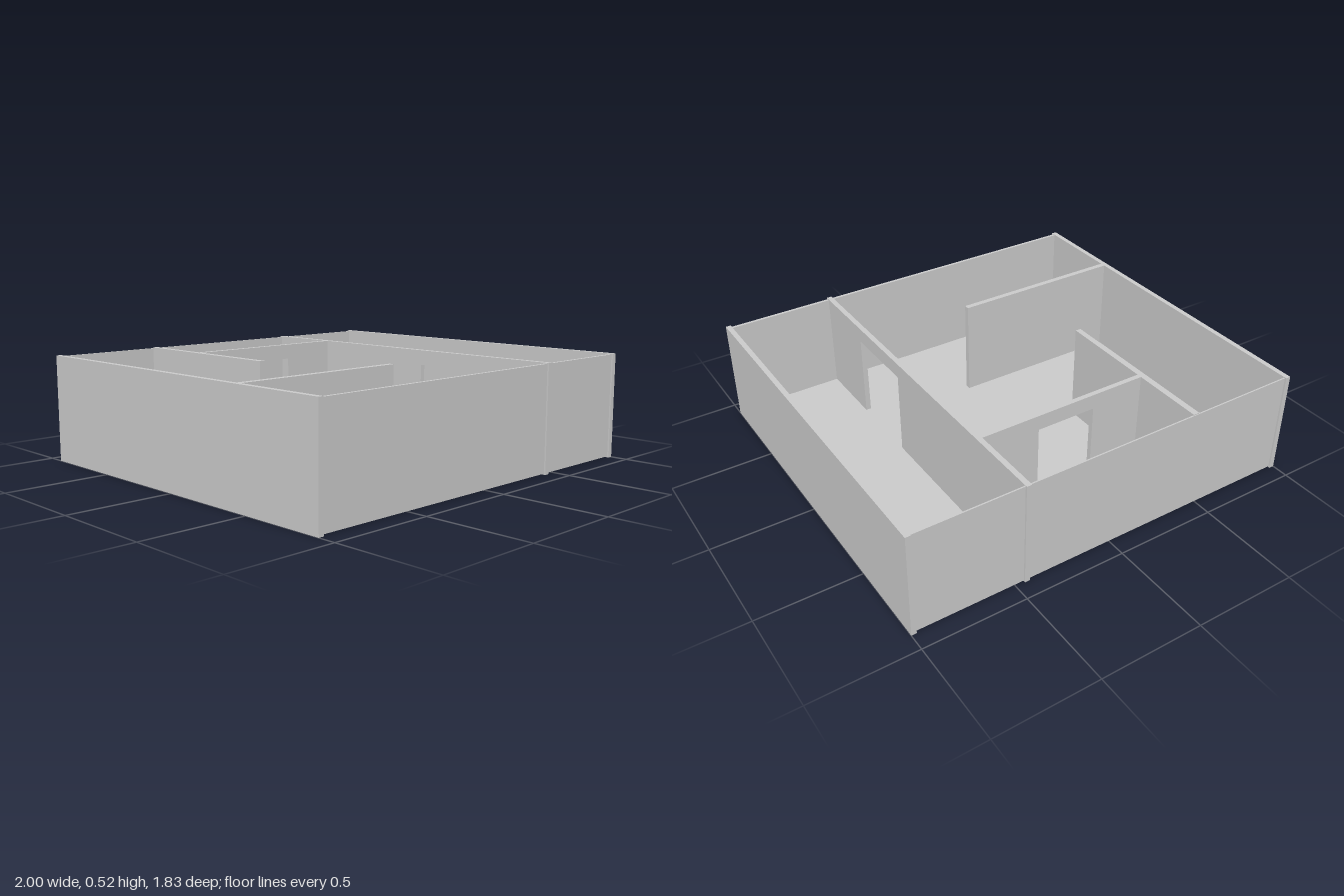
import * as THREE from 'three';

const material = new THREE.MeshStandardMaterial({ color: 0xcccccc, flatShading: true });
const TOP = 0.517;
const DOOR_TOP = 0.443;
const FLOOR_TOP = 0.03;

// Box given by its limits on each axis
function block(name, [x0, x1], [y0, y1], [z0, z1]) {
  const mesh = new THREE.Mesh(new THREE.BoxGeometry(x1 - x0, y1 - y0, z1 - z0), material);
  mesh.position.set((x0 + x1) / 2, (y0 + y1) / 2, (z0 + z1) / 2);
  mesh.name = name;
  return mesh;
}

// Wall with a doorway: outline with a notch from the base, extruded through its thickness.
// Runs along local x from a to b, with the doorway between d0 and d1.
function doorWall(name, a, b, d0, d1, base, thickness) {
  const outline = [[a, base], [d0, base], [d0, DOOR_TOP], [d1, DOOR_TOP],
    [d1, base], [b, base], [b, TOP], [a, TOP]];
  const shape = new THREE.Shape(outline.map(([x, y]) => new THREE.Vector2(x, y)));
  const geometry = new THREE.ExtrudeGeometry(shape, { depth: thickness, bevelEnabled: false });
  geometry.translate(0, 0, -thickness / 2);
  const mesh = new THREE.Mesh(geometry, material);
  mesh.name = name;
  return mesh;
}

export function createModel() {
  const house = new THREE.Group();
  house.name = 'floorPlan';

  // Floor slab between the outer walls
  house.add(block('floor', [-0.98, 0.98], [0.005, FLOOR_TOP], [-0.9, 0.9]));

  // Outer walls; the side walls stand slightly proud of the front and back
  for (const [side, s] of [['left', 1], ['right', -1]]) {
    const xs = [s * 0.975, s].sort((p, q) => p - q);
    house.add(block(side + 'Wall', xs, [0, TOP], [-0.917, 0.917]));
  }
  house.add(block('frontWall', [-0.98, 0.98], [0.005, TOP - 0.004], [0.894, 0.909]));
  house.add(block('backWall', [-0.98, 0.98], [0.005, TOP - 0.004], [-0.909, -0.902]));

  // Long dividing wall with a doorway, running front to back
  const divider = doorWall('dividingWall', -0.917, 0.917, -0.543, -0.156, 0, 0.026);
  divider.rotation.y = Math.PI / 2;
  divider.position.x = 0.442;
  house.add(divider);

  // Back room wall with a doorway
  const backRoom = doorWall('backRoomWall', -0.43, 0.435, -0.158, 0.139, 0.01, 0.024);
  backRoom.position.z = -0.536;
  house.add(backRoom);

  // Free-ending partitions
  house.add(block('backPartition', [-0.455, -0.427], [0.01, TOP], [-0.905, -0.05]));
  house.add(block('frontPartition', [-0.98, -0.1], [0.01, TOP], [0.427, 0.454]));

  return house;
}
